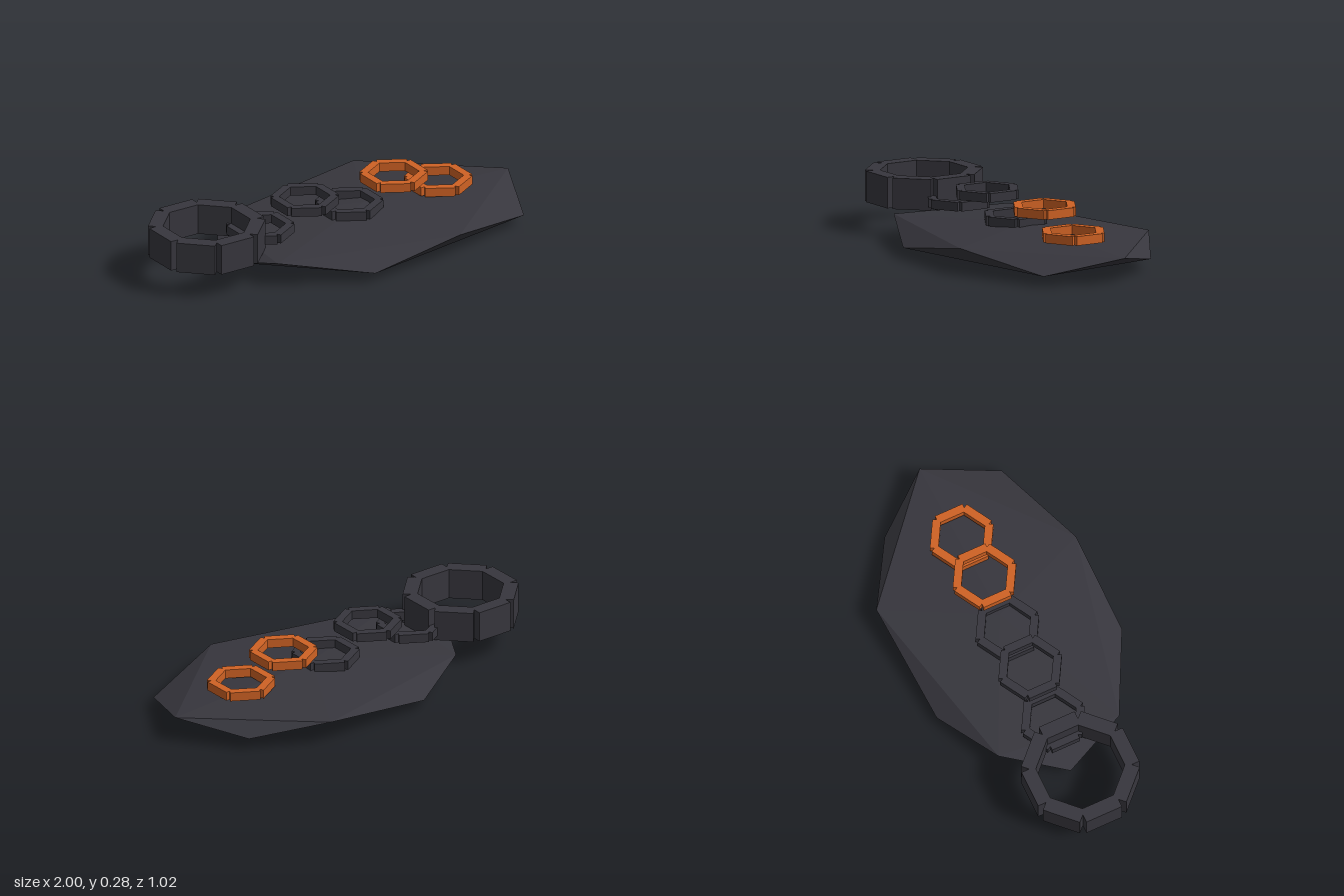
import * as THREE from 'three';

export function createModel() {
  const model = new THREE.Group();
  const charcoal = new THREE.MeshStandardMaterial({ name: 'charcoal', color: 0x37363d, flatShading: true });
  const orange = new THREE.MeshStandardMaterial({ name: 'orange', color: 0xcf6224, flatShading: true });

  // Faceted stone slab: a flattened, uneven icosahedron.
  // The rim alternates between an upper and a lower corner.
  const rim = [
    [1, 0.125, -0.025], [0.85, 0.05, 0.335], [0.375, 0.125, 0.5], [-0.115, 0.05, 0.51], [-0.53, 0.125, 0.3],
    [-0.66, 0.055, -0.015], [-0.47, 0.125, -0.305], [-0.145, 0.047, -0.475], [0.445, 0.122, -0.513], [0.78, 0.057, -0.312],
  ];
  const top = [0.16, 0.165, 0], bottom = [0.17, 0, -0.01];
  const points = [];
  for (let i = 0; i < 10; i++) {
    const a = rim[i], b = rim[(i + 1) % 10], c = rim[(i + 2) % 10];
    if (i % 2 === 0) points.push(top, c, a, a, c, b);
    else points.push(bottom, a, c, a, b, c);
  }
  const slabGeometry = new THREE.BufferGeometry();
  slabGeometry.setAttribute('position', new THREE.Float32BufferAttribute(points.flat(), 3));
  slabGeometry.computeVertexNormals();
  const slab = new THREE.Mesh(slabGeometry, charcoal);
  slab.name = 'slab';
  model.add(slab);

  // Ring of straight blocks with small notches at its outer corners
  function addRing(name, material, x, y, sides, outer, thickness, height, length) {
    const ring = new THREE.Group();
    ring.name = name;
    ring.position.set(x, y, 0);
    const geometry = new THREE.BoxGeometry(thickness, height, length);
    for (let i = 0; i < sides; i++) {
      const angle = (i / sides) * Math.PI * 2;
      const r = outer - thickness / 2;
      const block = new THREE.Mesh(geometry, material);
      block.name = name + 'Block';
      block.position.set(r * Math.cos(angle), 0, -r * Math.sin(angle));
      block.rotation.y = angle;
      ring.add(block);
    }
    model.add(ring);
  }

  // Large octagonal end ring
  addRing('endRing', charcoal, -0.735, 0.204, 8, 0.265, 0.07, 0.15, 0.186);

  // Chain of hexagonal links, alternately low and high; the last two are orange
  for (let i = 0; i < 5; i++) {
    addRing('chainLink', i < 3 ? charcoal : orange, -0.43 + i * 0.2537, i % 2 ? 0.258 : 0.174,
      6, 0.145, 0.04, 0.044, 0.144);
  }
  return model;
}
